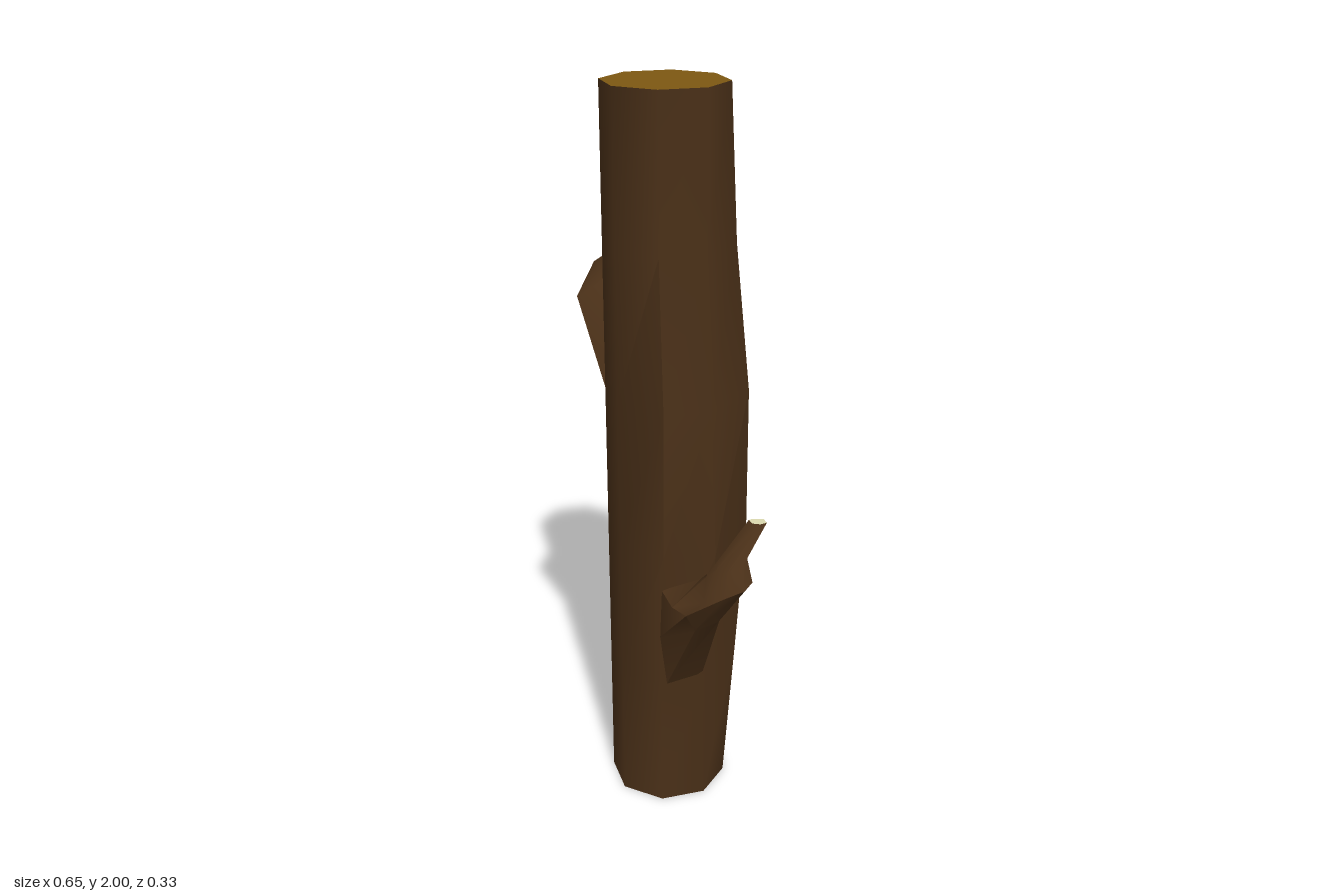
import * as THREE from 'three';
import { toCreasedNormals } from 'three/addons/utils/BufferGeometryUtils.js';

const bark = new THREE.MeshStandardMaterial({ color: 0x4a3018 });
const cutWood = new THREE.MeshStandardMaterial({ color: 0x7d5812 });
const paleWood = new THREE.MeshStandardMaterial({ color: 0xdcdab0 });

function mesh(name, positions, material) {
  const g = new THREE.BufferGeometry();
  g.setAttribute('position', new THREE.Float32BufferAttribute(positions.flat(), 3));
  const m = new THREE.Mesh(toCreasedNormals(g, 0.95), material);
  m.name = name;
  return m;
}

// Skin between cross-sections, each counter-clockwise seen from the far end
function skin(rings) {
  const out = [];
  for (let k = 0; k + 1 < rings.length; k++) {
    const a = rings[k], b = rings[k + 1], n = a.length;
    for (let i = 0; i < n; i++) {
      const j = (i + 1) % n;
      out.push(a[i], a[j], b[j], a[i], b[j], b[i]);
    }
  }
  return out;
}

// Flat cap over one cross-section
function cap(ring) {
  const out = [];
  for (let i = 1; i + 1 < ring.length; i++) out.push(ring[0], ring[i], ring[i + 1]);
  return out;
}

function limb(name, rings, endMaterial, closeBase = false) {
  const group = new THREE.Group();
  group.name = name;
  const sides = skin(rings);
  if (closeBase) sides.push(...cap([...rings[0]].reverse()));
  group.add(mesh(name + 'Bark', sides, bark));
  group.add(mesh(name + 'CutEnd', cap(rings[rings.length - 1]), endMaterial));
  return group;
}

// Eight-sided trunk section; bulge moves the left, front-left and back-left corners
function trunkRing(y, bulge = {}) {
  return Array.from({ length: 8 }, (_, i) => {
    const t = (i * Math.PI) / 4;
    const [dx, dz] = bulge[i] || [0, 0];
    return [-0.068 + 0.163 * Math.cos(t) + dx, y, -0.004 - 0.163 * Math.sin(t) + dz];
  });
}

export function createModel() {
  const model = new THREE.Group();
  model.name = 'log';

  // Trunk, swollen around the larger branch
  model.add(limb('trunk', [
    trunkRing(0),
    trunkRing(0.4, { 1: [0.015, -0.025] }),
    trunkRing(0.8, { 0: [0.065, 0.02], 1: [0.03, -0.048], 7: [0.035, 0.018] }),
    trunkRing(1.2, { 0: [0.035, 0.012], 1: [0.03, -0.048], 7: [0.038, 0.018] }),
    trunkRing(1.6, { 1: [0.01, -0.015] }),
    trunkRing(2),
  ], cutWood, true));

  // Bent branch on the left
  model.add(limb('bentBranch', [
    [[0.075, 0.7, 0.13], [0.06, 0.55, 0.125], [0.07, 0.4, 0.11], [0.09, 0.4, 0], [0.1, 0.55, 0], [0.13, 0.74, 0.01]],
    [[0.16, 0.7, 0.165], [0.205, 0.69, 0.155], [0.2, 0.63, 0.12], [0.19, 0.62, 0.03], [0.195, 0.74, -0.018], [0.17, 0.76, 0.07]],
    [[0.205, 0.78, 0.09], [0.235, 0.73, 0.12], [0.295, 0.76, 0.105], [0.324, 0.78, 0.06], [0.315, 0.79, 0.025], [0.235, 0.8, 0.02]],
    [[0.222, 0.83, 0.06], [0.245, 0.82, 0.085], [0.275, 0.82, 0.075], [0.295, 0.83, 0.045], [0.28, 0.85, 0.015], [0.235, 0.85, 0.02]],
    [[0.226, 0.915, -0.04], [0.248, 0.915, -0.032], [0.265, 0.915, -0.045], [0.268, 0.915, -0.065], [0.246, 0.915, -0.073], [0.228, 0.915, -0.052]],
  ], paleWood));

  // Short stub on the right
  model.add(limb('stubBranch', [
    [[-0.23, 1.2, 0], [-0.185, 1.2, 0.11], [-0.185, 1.45, 0.11], [-0.23, 1.48, 0]],
    [[-0.325, 1.5, 0.035], [-0.285, 1.43, 0.122], [-0.235, 1.48, 0.06], [-0.25, 1.49, -0.01]],
    [[-0.31, 1.52, 0], [-0.297, 1.52, 0.028], [-0.26, 1.52, 0.022], [-0.28, 1.52, -0.022]],
  ], paleWood));

  return model;
}
